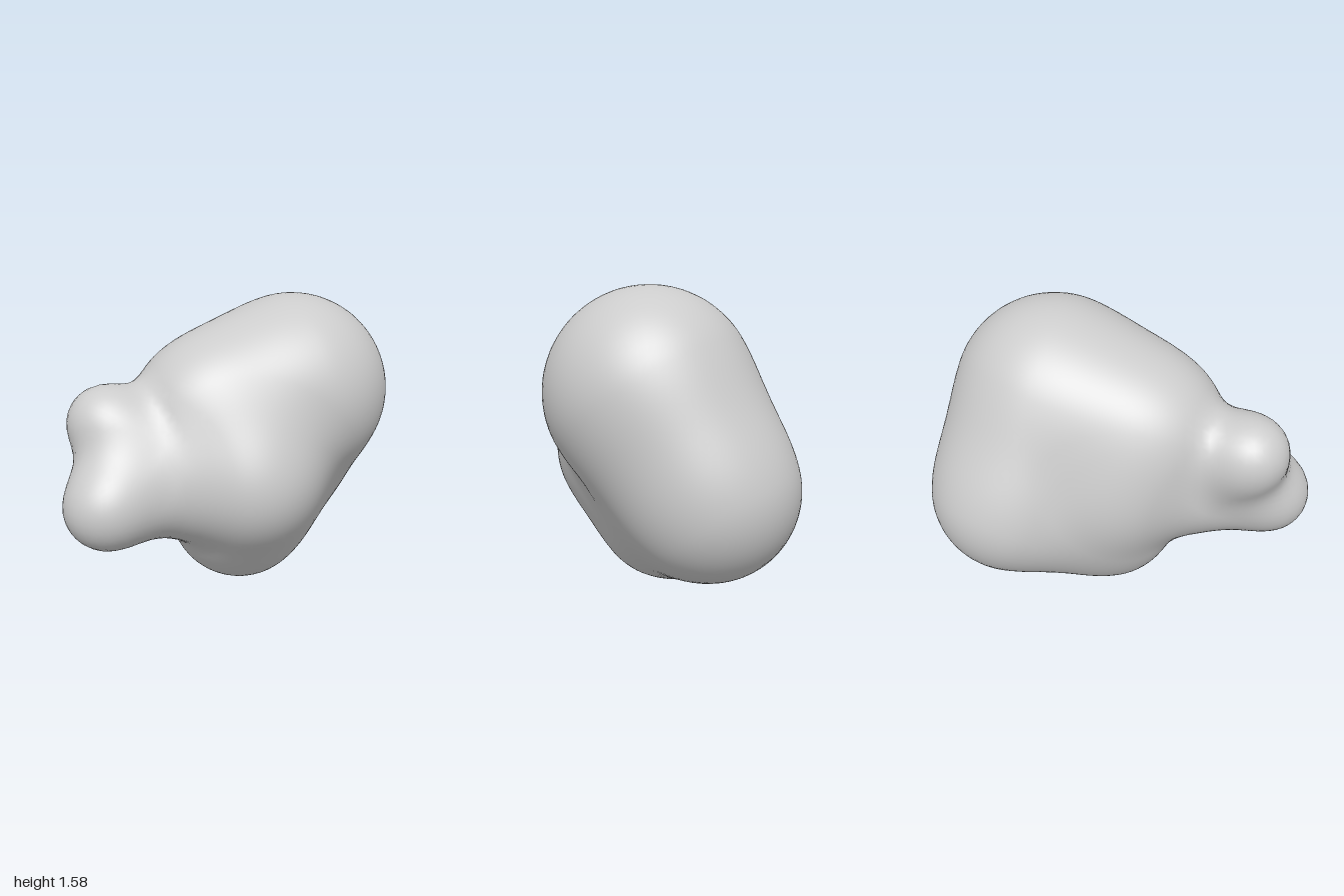
import * as THREE from 'three';

// Balls that melt together: x, y, z, radius, width of the blend
const balls = [
  [0.075, 1.06, -0.33, 0.525, 0.3],  // large upper back
  [-0.17, 0.615, -0.555, 0.445, 0.3], // lower back
  [-0.08, 0.392, -0.06, 0.392, 0.32], // underside
  [-0.135, 0.99, 0.14, 0.405, 0.3],  // upper front
  [-0.25, 0.7, 0, 0.255, 0.3],       // right flank
  [0.15, 0.67, 0.15, 0.34, 0.25],    // left flank
  [-0.2, 0.68, 0.48, 0.26, 0.25],    // neck of the two knobs
  [-0.25, 0.84, 0.58, 0.18, 0.15],   // ridge between the knobs
  [-0.385, 0.995, 0.63, 0.197, 0.18], // upper knob
  [-0.24, 0.635, 0.78, 0.22, 0.18],  // lower knob
];

// Smooth union of the balls: negative inside, positive outside
function field(x, y, z) {
  let d = 10;
  for (const [bx, by, bz, r, blend] of balls) {
    const ball = Math.hypot(x - bx, y - by, z - bz) - r;
    const h = Math.max(blend - Math.abs(d - ball), 0) / blend;
    d = Math.min(d, ball) - h * h * blend / 4;
  }
  return d;
}

function gradient(p) {
  const e = 0.012;
  return new THREE.Vector3(
    field(p.x + e, p.y, p.z) - field(p.x - e, p.y, p.z),
    field(p.x, p.y + e, p.z) - field(p.x, p.y - e, p.z),
    field(p.x, p.y, p.z + e) - field(p.x, p.y, p.z - e),
  ).divideScalar(2 * e);
}

// Skin the field on a regular grid: one vertex per crossed cell, one quad per crossed edge
function skin(min, max, step) {
  const n = [0, 1, 2].map((a) => Math.ceil((max[a] - min[a]) / step) + 1);
  const stride = [1, n[0], n[0] * n[1]];
  const at = (i, a) => min[a] + i * step;
  const values = new Float32Array(n[0] * n[1] * n[2]).fill(1);
  const eachNode = (visit) => {
    for (let k = 0; k < n[2] - 1; k++)
      for (let j = 0; j < n[1] - 1; j++)
        for (let i = 0; i < n[0] - 1; i++) visit(i, j, k, i + j * stride[1] + k * stride[2]);
  };
  eachNode((i, j, k, id) => { values[id] = field(at(i, 0), at(j, 1), at(k, 2)); });

  const positions = [], normals = [], index = [];
  const cellVertex = new Map();
  eachNode((i, j, k, id) => {
    const p = new THREE.Vector3();
    let crossings = 0;
    for (let c = 0; c < 8; c++) {
      const corner = [c & 1, (c >> 1) & 1, (c >> 2) & 1];
      const from = id + corner[0] + corner[1] * stride[1] + corner[2] * stride[2];
      for (let a = 0; a < 3; a++) {
        if (corner[a]) continue;
        const v0 = values[from], v1 = values[from + stride[a]];
        if ((v0 < 0) === (v1 < 0)) continue;
        const q = corner.slice();
        q[a] = v0 / (v0 - v1);
        p.x += at(i + q[0], 0);
        p.y += at(j + q[1], 1);
        p.z += at(k + q[2], 2);
        crossings++;
      }
    }
    if (!crossings) return;
    p.divideScalar(crossings);
    // settle the vertex on the surface
    for (let s = 0; s < 2; s++) {
      const g = gradient(p);
      p.addScaledVector(g, -field(p.x, p.y, p.z) / Math.max(g.lengthSq(), 0.1));
    }
    cellVertex.set(id, positions.length / 3);
    positions.push(p.x, p.y, p.z);
    normals.push(...gradient(p).normalize().toArray());
  });

  eachNode((i, j, k, id) => {
    for (let a = 0; a < 3; a++) {
      const inside = values[id] < 0;
      if (inside === (values[id + stride[a]] < 0)) continue;
      const b = stride[(a + 1) % 3], c = stride[(a + 2) % 3];
      const quad = [id - b - c, id - c, id, id - b].map((cell) => cellVertex.get(cell));
      if (!inside) quad.reverse();
      index.push(quad[0], quad[1], quad[2], quad[0], quad[2], quad[3]);
    }
  });

  const geometry = new THREE.BufferGeometry();
  geometry.setAttribute('position', new THREE.Float32BufferAttribute(positions, 3));
  geometry.setAttribute('normal', new THREE.Float32BufferAttribute(normals, 3));
  geometry.setIndex(index);
  return geometry;
}

export function createModel() {
  const group = new THREE.Group();
  group.name = 'blob';

  const body = new THREE.Mesh(
    skin([-0.85, -0.2, -1.2], [0.85, 1.8, 1.25], 0.04),
    new THREE.MeshStandardMaterial({ color: 0xcccccc }),
  );
  body.name = 'lumpyBody';
  group.add(body);
  return group;
}
